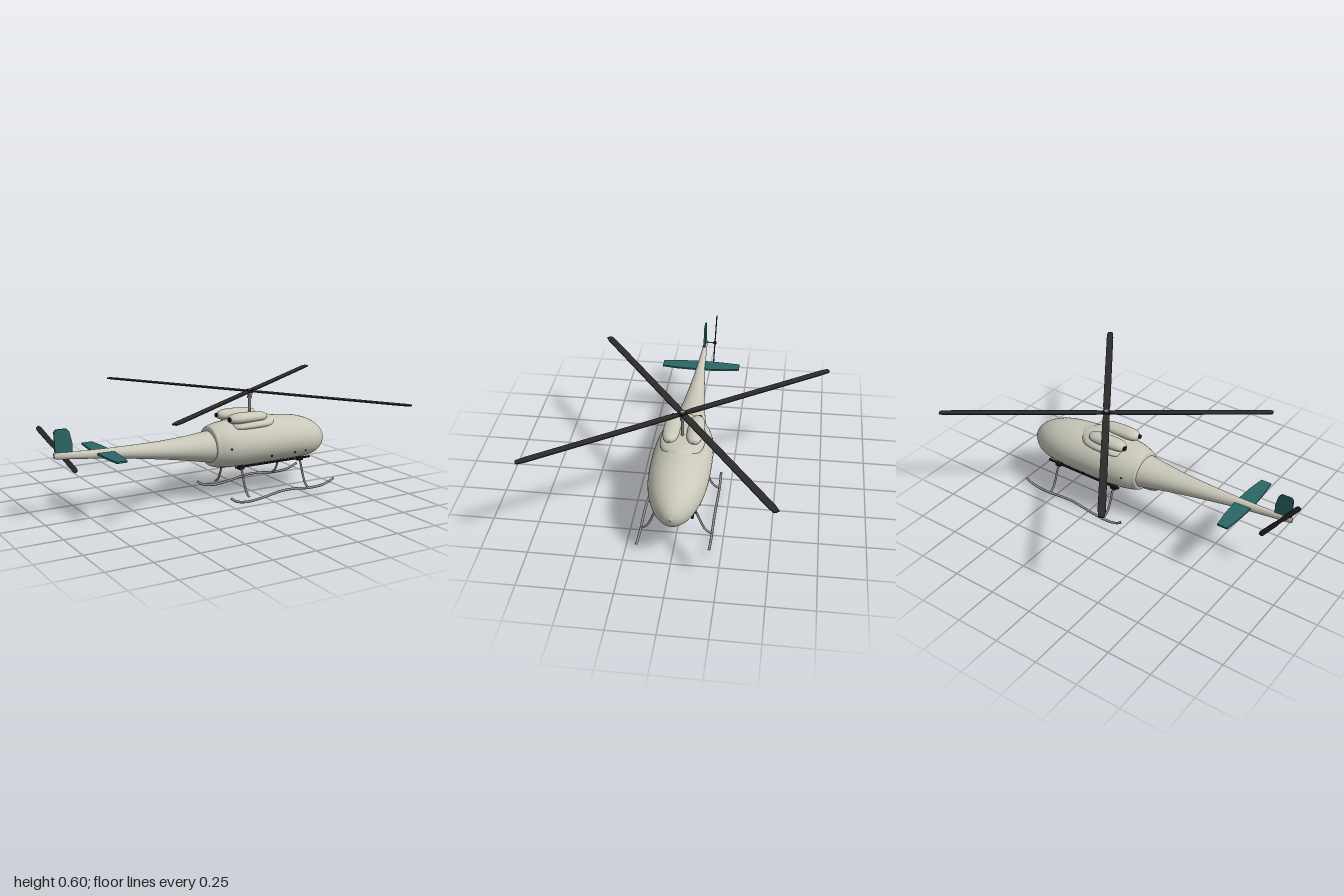
import * as THREE from 'three';

const mat = (name, color, side = THREE.FrontSide) => {
  const m = new THREE.MeshStandardMaterial({ color, side });
  m.name = name;
  return m;
};

// Elliptical hull along x; sections are [x, bottom, top, halfWidth]
function loft(sections, zOff = 0, steps = 48, sides = 40) {
  const heights = new THREE.CatmullRomCurve3(
    sections.map(s => new THREE.Vector3(s[0], s[1], s[2])), false, 'catmullrom');
  const widths = new THREE.CatmullRomCurve3(
    sections.map(s => new THREE.Vector3(s[3], 0, 0)), false, 'catmullrom');
  const pos = [], idx = [];
  for (let i = 0; i <= steps; i++) {
    const p = heights.getPoint(i / steps), w = widths.getPoint(i / steps).x;
    for (let j = 0; j < sides; j++) {
      const a = j / sides * Math.PI * 2;
      pos.push(p.x, (p.y + p.z) / 2 + (p.z - p.y) / 2 * Math.cos(a), zOff + w * Math.sin(a));
      if (i === steps) continue;
      const k = (j + 1) % sides, A = i * sides + j, B = i * sides + k;
      idx.push(A, B, A + sides, B, B + sides, A + sides);
    }
  }
  const g = new THREE.BufferGeometry();
  g.setAttribute('position', new THREE.Float32BufferAttribute(pos, 3));
  g.setIndex(idx);
  g.computeVertexNormals();
  return g;
}

// Thin plate from a 2D outline, centred on its thickness
function plate(points, depth) {
  const shape = new THREE.Shape(points.map(p => new THREE.Vector2(p[0], p[1])));
  return new THREE.ExtrudeGeometry(shape, { depth, bevelEnabled: false }).translate(0, 0, -depth / 2);
}

function tube(points, radius, segments) {
  const curve = new THREE.CatmullRomCurve3(points.map(p => new THREE.Vector3(...p)));
  return new THREE.TubeGeometry(curve, segments, radius, 10);
}

export function createModel() {
  const root = new THREE.Group();
  root.name = 'helicopter';
  const paint = mat('hull paint', 0xc9c8ba);
  const teal = mat('teal fin', 0x2b6767);
  const black = mat('blade black', 0x2b2b2b);
  const dark = mat('fitting black', 0x161719);
  const steel = mat('steel', 0x8b8d8c);
  const add = (name, geo, material, x = 0, y = 0, z = 0, parent = root) => {
    const m = new THREE.Mesh(geo, material);
    m.name = name;
    m.position.set(x, y, z);
    parent.add(m);
    return m;
  };

  // Fuselage and tail boom
  add('fuselage', loft([
    [-0.035, 0.30, 0.32, 0.002], [-0.033, 0.21, 0.405, 0.098], [-0.01, 0.188, 0.425, 0.118],
    [0.06, 0.178, 0.437, 0.145], [0.18, 0.175, 0.443, 0.16], [0.32, 0.175, 0.442, 0.162],
    [0.45, 0.175, 0.435, 0.157], [0.56, 0.175, 0.418, 0.138], [0.64, 0.184, 0.388, 0.108],
    [0.69, 0.205, 0.354, 0.073], [0.72, 0.235, 0.32, 0.04], [0.735, 0.276, 0.284, 0.002],
  ], 0, 72), paint);
  add('tailBoom', loft([
    [0.02, 0.208, 0.398, 0.108], [-0.04, 0.217, 0.393, 0.1], [-0.18, 0.246, 0.38, 0.077],
    [-0.35, 0.276, 0.373, 0.055], [-0.6, 0.314, 0.374, 0.03], [-0.8, 0.338, 0.38, 0.017],
    [-0.93, 0.353, 0.388, 0.01], [-0.936, 0.37, 0.372, 0.001],
  ].reverse()), paint);

  // Engine deck with twin pods and exhausts
  add('engineFairing', loft([
    [0.08, 0.39, 0.41, 0.02], [0.1, 0.385, 0.44, 0.1], [0.2, 0.38, 0.456, 0.12],
    [0.3, 0.38, 0.456, 0.11], [0.36, 0.38, 0.447, 0.07], [0.41, 0.39, 0.436, 0.01],
  ]), paint);
  for (const s of [1, -1]) {
    add('enginePod', loft([
      [0.062, 0.456, 0.464, 0.004], [0.07, 0.44, 0.478, 0.026], [0.11, 0.431, 0.49, 0.042],
      [0.19, 0.43, 0.49, 0.045], [0.26, 0.432, 0.485, 0.04], [0.295, 0.44, 0.476, 0.024],
      [0.304, 0.456, 0.46, 0.002],
    ], s * 0.064), paint);
    add('exhaust', new THREE.CylinderGeometry(0.013, 0.013, 0.024, 16).rotateZ(Math.PI / 2),
      dark, 0.068, 0.46, s * 0.072);
  }

  // Main rotor
  const rotor = new THREE.Group();
  rotor.name = 'mainRotor';
  rotor.position.x = 0.235;
  root.add(rotor);
  const cyl = (name, r, h, y, m) =>
    add(name, new THREE.CylinderGeometry(r, r, h, 20), m, 0, y, 0, rotor);
  cyl('mast', 0.008, 0.17, 0.51, steel);
  cyl('lowerCollar', 0.015, 0.012, 0.56, steel);
  cyl('upperCollar', 0.017, 0.012, 0.58, steel);
  cyl('hub', 0.023, 0.014, 0.594, dark);
  cyl('hubCap', 0.012, 0.006, 0.602, steel);
  const blade = plate([[0.01, -0.014], [0.07, -0.02], [0.86, -0.02], [0.915, -0.016],
    [0.922, -0.006], [0.922, 0.014], [0.88, 0.02], [0.07, 0.02], [0.01, 0.014]], 0.006)
    .rotateX(-Math.PI / 2);
  for (let i = 0; i < 4; i++)
    add('mainBlade', blade, black, 0, 0.594, 0, rotor).rotation.y = (35 + i * 90) * Math.PI / 180;

  // Tail surfaces
  add('tailFin', plate([[-0.934, 0.375], [-0.936, 0.495], [-0.925, 0.508], [-0.868, 0.508],
    [-0.852, 0.49], [-0.838, 0.43], [-0.838, 0.372]], 0.01), teal);
  add('stabilizer', plate([[-0.692, -0.23], [-0.632, -0.23], [-0.618, -0.13], [-0.612, 0],
    [-0.618, 0.13], [-0.632, 0.23], [-0.692, 0.23], [-0.703, 0.13], [-0.71, 0],
    [-0.703, -0.13]], 0.01).rotateX(-Math.PI / 2), teal, 0, 0.355, 0);

  // Tail rotor on its side shaft
  const tail = new THREE.Group();
  tail.name = 'tailRotor';
  tail.position.set(-0.897, 0.385, -0.06);
  root.add(tail);
  add('tailShaft', new THREE.CylinderGeometry(0.004, 0.004, 0.07, 12).rotateX(Math.PI / 2),
    steel, 0, 0, 0.03, tail);
  add('tailHub', new THREE.SphereGeometry(0.011, 16, 12), dark, 0, 0, 0, tail);
  add('tailBlades', plate([[-0.17, -0.008], [-0.155, -0.014], [-0.04, -0.013], [0, -0.008],
    [0.04, -0.013], [0.155, -0.014], [0.17, -0.008], [0.17, 0.008], [0.155, 0.014],
    [0.04, 0.013], [0, 0.008], [-0.04, 0.013], [-0.155, 0.014], [-0.17, 0.008]], 0.005),
    black, 0, 0, 0, tail).rotation.z = -0.92;

  // Landing gear, mirrored
  for (const s of [1, -1]) {
    const z = s * 0.19;
    add('skid', tube([[0, 0.052, z], [0.04, 0.026, z], [0.11, 0.014, z], [0.2, 0.021, z],
      [0.34, 0.043, z], [0.42, 0.043, z], [0.52, 0.033, z], [0.61, 0.037, z],
      [0.66, 0.05, z], [0.695, 0.066, z]], 0.007, 60), steel);
    for (const [x, foot] of [[0.123, 0.016], [0.517, 0.035]]) {
      add('skidStrut', tube([[x, 0.19, s * 0.092], [x, 0.165, s * 0.108], [x, 0.11, s * 0.13],
        [x, 0.065, s * 0.152], [x, 0.045, s * 0.172], [x, Math.max(foot, 0.036), z]],
        0.006, 24), steel);
      add('strutMount', new THREE.BoxGeometry(0.035, 0.018, 0.024), dark, x, 0.186, s * 0.096);
    }
    add('bellyRail', new THREE.BoxGeometry(0.5, 0.009, 0.012), dark, 0.34, 0.189, s * 0.094);
    // Small hull fittings
    for (const [x, y, w] of [[0.04, 0.31, 0.137], [0.46, 0.24, 0.136], [0.54, 0.24, 0.124],
      [0.3, 0.24, 0.141]])
      add('hullFitting', new THREE.SphereGeometry(0.006, 10, 8), dark, x, y, s * w);
  }
  add('bellyLamp', new THREE.SphereGeometry(0.01, 12, 8), dark, 0.59, 0.175, 0);
  return root;
}
